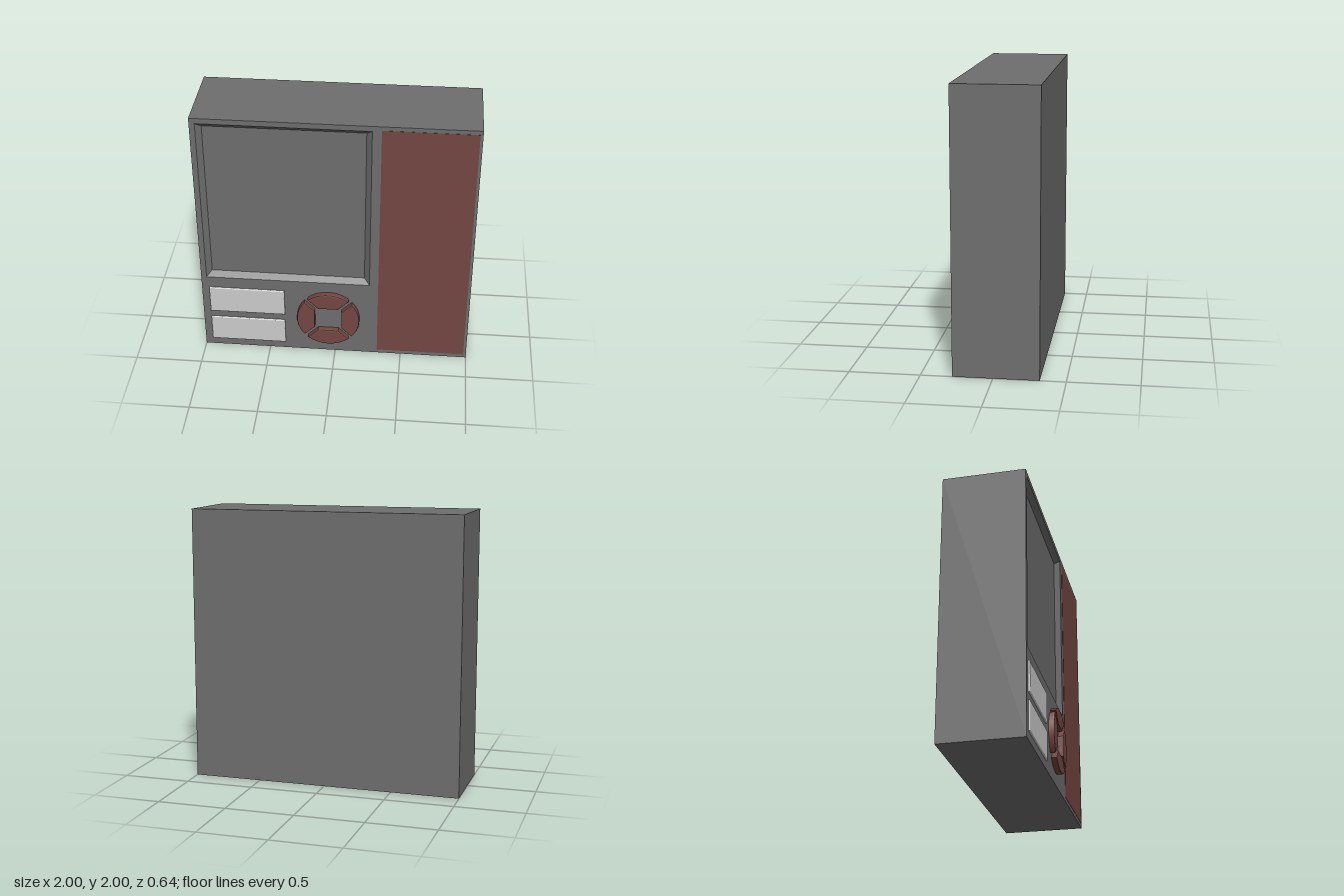
import * as THREE from 'three';

const FRONT = 0.28, BACK = -0.32;
const grey = new THREE.MeshStandardMaterial({ color: 0xcccccc });
const dark = new THREE.MeshStandardMaterial({ color: 0x6e6e6e });
const red = new THREE.MeshStandardMaterial({ color: 0x744641 });

function named(name, geometry, material) {
  const mesh = new THREE.Mesh(geometry, material);
  mesh.name = name;
  return mesh;
}

// Four corners, anticlockwise seen from the front
const rect = (x0, x1, y0, y1, z) => [[x0, y0, z], [x1, y0, z], [x1, y1, z], [x0, y1, z]];

// Joins rectangular loops in order and caps both ends, with flat faces
function loftRects(loops) {
  const pos = [];
  const quad = (a, b, c, d) => pos.push(...a, ...b, ...c, ...a, ...c, ...d);
  for (let i = 0; i < loops.length - 1; i++) {
    for (let k = 0; k < 4; k++) {
      const n = (k + 1) % 4;
      quad(loops[i][k], loops[i][n], loops[i + 1][n], loops[i + 1][k]);
    }
  }
  const first = loops[0];
  quad(first[3], first[2], first[1], first[0]);
  quad(...loops[loops.length - 1]);
  const geometry = new THREE.BufferGeometry();
  geometry.setAttribute('position', new THREE.Float32BufferAttribute(pos, 3));
  geometry.computeVertexNormals();
  return geometry;
}

// Raised key with a softened front edge; its base sinks into the case
function keyGeometry(shape, height, bevel, segments) {
  const base = 0.03;
  const geometry = new THREE.ExtrudeGeometry(shape, {
    depth: base + height - 2 * bevel, bevelThickness: bevel, bevelSize: bevel,
    bevelOffset: -bevel, bevelSegments: segments, curveSegments: 24,
  });
  return geometry.translate(0, 0, FRONT - base + bevel);
}

export function createModel() {
  const model = new THREE.Group();
  model.name = 'wallPanelDevice';

  // Case with a sloped screen recess in its front
  model.add(named('caseWithScreenRecess', loftRects([
    rect(-1, 1, 0, 2, BACK),
    rect(-1, 1, 0, 2, FRONT),
    rect(-0.96, 0.255, 0.645, 1.96, FRONT),
    rect(-0.922, 0.215, 0.683, 1.922, FRONT - 0.04),
  ]), dark));

  // Flush coloured strip on the front
  const strip = named('sidePanel', new THREE.BoxGeometry(0.66, 1.94, 0.01), red);
  strip.position.set(0.65, 1.0, FRONT - 0.003);
  model.add(strip);

  // Two wide keys
  [[0.06, 0.275, 'lowerKey'], [0.33, 0.553, 'upperKey']].forEach(([y0, y1, name]) => {
    const shape = new THREE.Shape(
      rect(-0.945, -0.38, y0, y1, 0).map(([x, y]) => new THREE.Vector2(x, y)));
    model.add(named(name, keyGeometry(shape, 0.012, 0.008, 3), grey));
  });

  // Round pad of four keys around a square centre
  const pad = new THREE.Group();
  pad.name = 'directionPad';
  pad.position.set(-0.05, 0.325, 0);
  const radius = 0.235, inner = 0.1, gap = 0.024;
  const outerX = (Math.sqrt(2 * radius ** 2 - gap ** 2) - gap) / 2;
  const a = Math.atan2(outerX + gap, outerX);
  const segment = new THREE.Shape();
  segment.moveTo(-(inner - gap), inner);
  segment.lineTo(inner - gap, inner);
  segment.lineTo(outerX, outerX + gap);
  segment.absarc(0, 0, radius, a, Math.PI - a, false);
  segment.closePath();
  const padGeometry = keyGeometry(segment, 0.04, 0.01, 2);
  ['upKey', 'leftKey', 'downKey', 'rightKey'].forEach((name, i) => {
    const key = named(name, padGeometry, red);
    key.rotation.z = i * Math.PI / 2;
    pad.add(key);
  });
  model.add(pad);

  return model;
}
